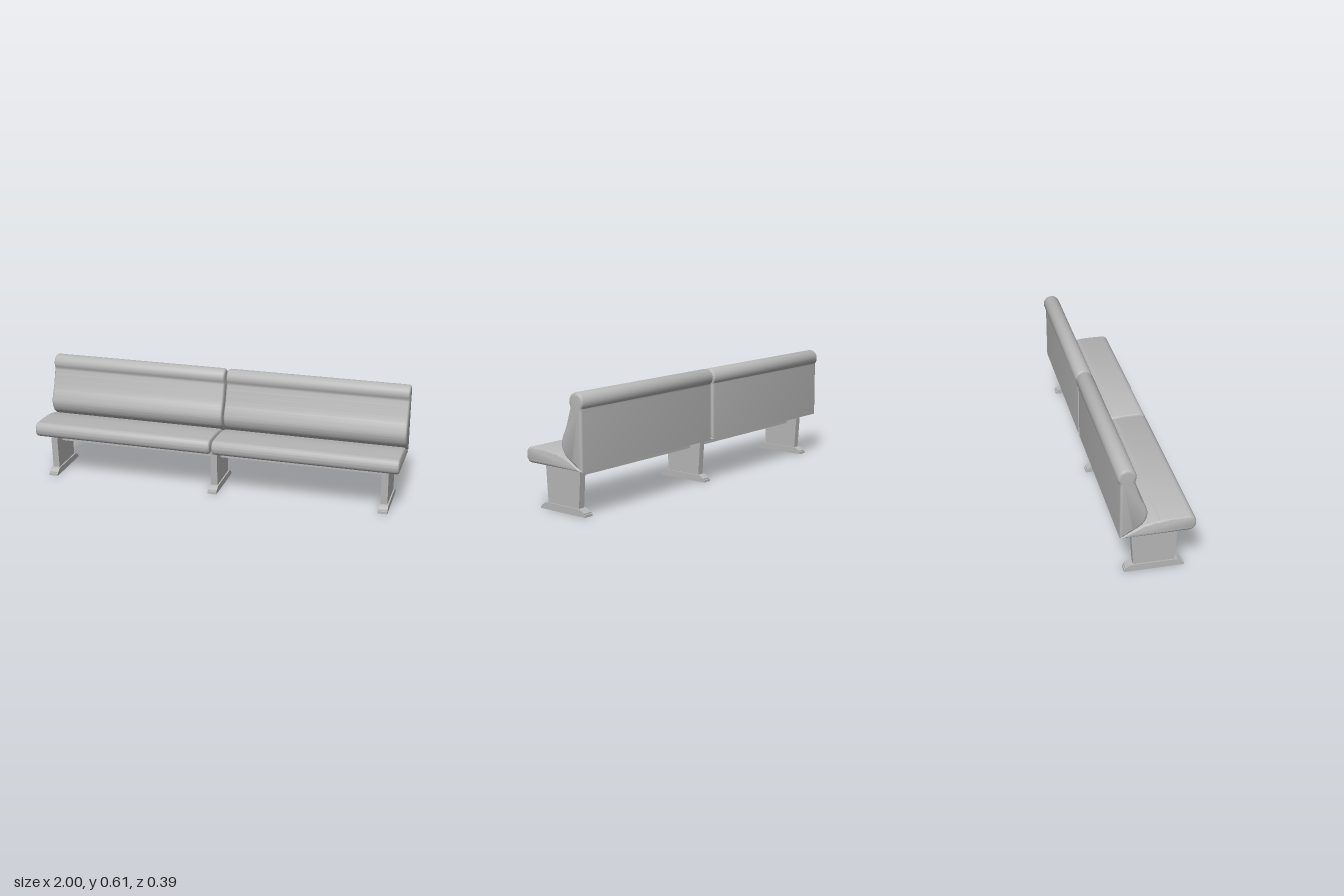
import * as THREE from 'three';
import { toCreasedNormals } from 'three/addons/utils/BufferGeometryUtils.js';

const grey = new THREE.MeshStandardMaterial({ color: 0xb8b8b8 });
grey.name = 'grey';

// Extrude a side profile (z, y) along x, centred on x = 0
function extrudeAcross(shape, width, bevel, crease) {
  const geometry = new THREE.ExtrudeGeometry(shape, {
    depth: width - 2 * bevel,
    curveSegments: 10,
    bevelEnabled: bevel > 0,
    bevelSize: bevel,
    bevelThickness: bevel,
    bevelOffset: -bevel,
    bevelSegments: 4,
  });
  geometry.translate(0, 0, -(width - 2 * bevel) / 2);
  geometry.rotateY(-Math.PI / 2);
  return toCreasedNormals(geometry, crease);
}

function part(name, geometry, x = 0) {
  const mesh = new THREE.Mesh(geometry, grey);
  mesh.name = name;
  mesh.position.x = x;
  return mesh;
}

const points = (list) => list.map(([z, y]) => new THREE.Vector2(z, y));

// Seat: thick rounded front, thinning to an edge at the back
function seatShape() {
  const s = new THREE.Shape();
  s.moveTo(-0.18, 0.236);
  s.lineTo(0.16, 0.236);
  s.bezierCurveTo(0.182, 0.236, 0.194, 0.254, 0.194, 0.276);
  s.bezierCurveTo(0.194, 0.298, 0.182, 0.315, 0.16, 0.315);
  s.splineThru(points([[0.07, 0.3145], [0.01, 0.31], [-0.06, 0.297]]));
  s.lineTo(-0.12, 0.267);
  s.closePath();
  return s;
}

// Backrest: flat rear, lumbar bulge and a round roll on top
function backShape() {
  const s = new THREE.Shape();
  s.moveTo(-0.18, 0.236);
  s.lineTo(-0.115, 0.272);
  s.splineThru(points([[-0.083, 0.291], [-0.058, 0.318], [-0.046, 0.358],
    [-0.055, 0.398], [-0.075, 0.44], [-0.092, 0.49], [-0.106, 0.536]]));
  s.absarc(-0.146, 0.569, 0.046, -0.55, Math.PI + 0.75, false);
  s.lineTo(-0.18, 0.53);
  s.closePath();
  return s;
}

// Foot: low base with stepped, rounded toes; mirrored front to back
function footShape() {
  const toe = [[0.15, 0], [0.15, 0.012], [0.144, 0.013], [0.143, 0.019],
    [0.137, 0.021], [0.126, 0.029], [0.118, 0.033], [0.108, 0.035]];
  const heel = toe.map(([z, y]) => [-z, y]).reverse();
  return new THREE.Shape(points([...toe, ...heel].map(([z, y]) => [z + 0.003, y])));
}

export function createModel() {
  const bench = new THREE.Group();
  bench.name = 'bench';

  // Two upholstered sections side by side
  const seat = extrudeAcross(seatShape(), 0.995, 0.014, 0.7);
  const back = extrudeAcross(backShape(), 0.995, 0.014, 0.7);
  for (const side of [-1, 1]) {
    const section = new THREE.Group();
    section.name = side > 0 ? 'leftSection' : 'rightSection';
    section.add(part('seat', seat), part('backrest', back));
    section.position.x = side * 0.5025;
    bench.add(section);
  }

  // Three tapered panel legs on feet
  const panel = extrudeAcross(new THREE.Shape(points(
    [[-0.1, 0.03], [0.106, 0.03], [0.12, 0.24], [-0.114, 0.24]])), 0.036, 0, 0.3);
  const foot = extrudeAcross(footShape(), 0.05, 0, 0.3);
  for (const x of [-0.922, 0, 0.922]) {
    const leg = new THREE.Group();
    leg.name = 'leg';
    leg.add(part('legPanel', panel), part('foot', foot));
    leg.position.x = x;
    bench.add(leg);
  }

  // Beam under the seats joining the legs
  const beam = new THREE.BoxGeometry(1.844, 0.065, 0.09);
  beam.translate(0, 0.2075, 0.003);
  bench.add(part('beam', beam));

  return bench;
}
